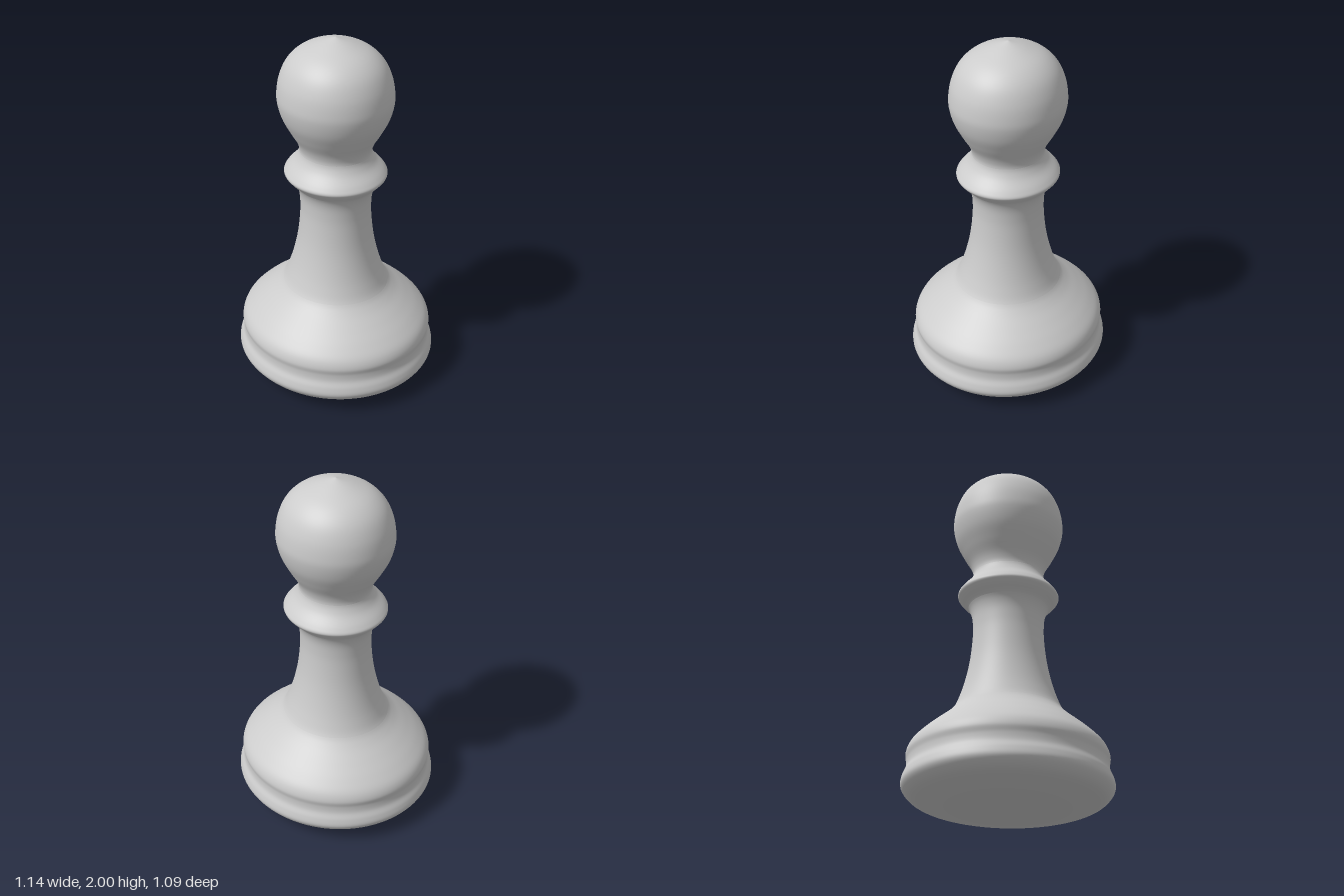
import * as THREE from 'three';

// Half profile from bottom centre to top, as [radius, height], split by part.
// Each part begins where the previous one ends.
const PARTS = {
  base: [[0, 0], [0.25, 0.018], [0.42, 0.04], [0.515, 0.068], [0.553, 0.1], [0.568, 0.13],
    [0.561, 0.17], [0.544, 0.21], [0.541, 0.25], [0.546, 0.29], [0.53, 0.335], [0.48, 0.39],
    [0.41, 0.45], [0.34, 0.508], [0.302, 0.55]],
  stem: [[0.27, 0.62], [0.24, 0.715], [0.215, 0.83], [0.201, 0.95], [0.198, 1.03],
    [0.205, 1.11], [0.225, 1.16]],
  collar: [[0.268, 1.205], [0.285, 1.23], [0.27, 1.257], [0.22, 1.313], [0.2, 1.36]],
  head: [[0.21, 1.41], [0.255, 1.49], [0.295, 1.57], [0.315, 1.65], [0.315, 1.7],
    [0.3, 1.78], [0.262, 1.86], [0.2, 1.92], [0.1, 1.968], [0, 2]],
};
const STEPS = 6;        // curve samples between profile points
const SIDES = 96;
const DEPTH = 0.956;    // the piece is slightly narrower front to back

export function createModel() {
  const group = new THREE.Group();
  group.name = 'pawn';
  const material = new THREE.MeshStandardMaterial({ color: 0xcccccc, side: THREE.DoubleSide });

  // One smooth curve through the whole profile keeps the joints continuous
  const points = Object.values(PARTS).flat().map(([r, y]) => new THREE.Vector3(r, y, 0));
  const samples = new THREE.CatmullRomCurve3(points, false, 'centripetal')
    .getPoints((points.length - 1) * STEPS)
    .map((p) => new THREE.Vector2(Math.max(p.x, 0), Math.max(p.y, 0)));

  // Turn each part's stretch of the curve
  let start = 0;
  let count = -1;
  for (const [name, profile] of Object.entries(PARTS)) {
    count += profile.length;
    const end = count * STEPS;
    const geometry = new THREE.LatheGeometry(samples.slice(start, end + 1), SIDES);
    geometry.scale(1, 1, DEPTH);
    const mesh = new THREE.Mesh(geometry, material);
    mesh.name = name;
    group.add(mesh);
    start = end;
  }
  return group;
}
